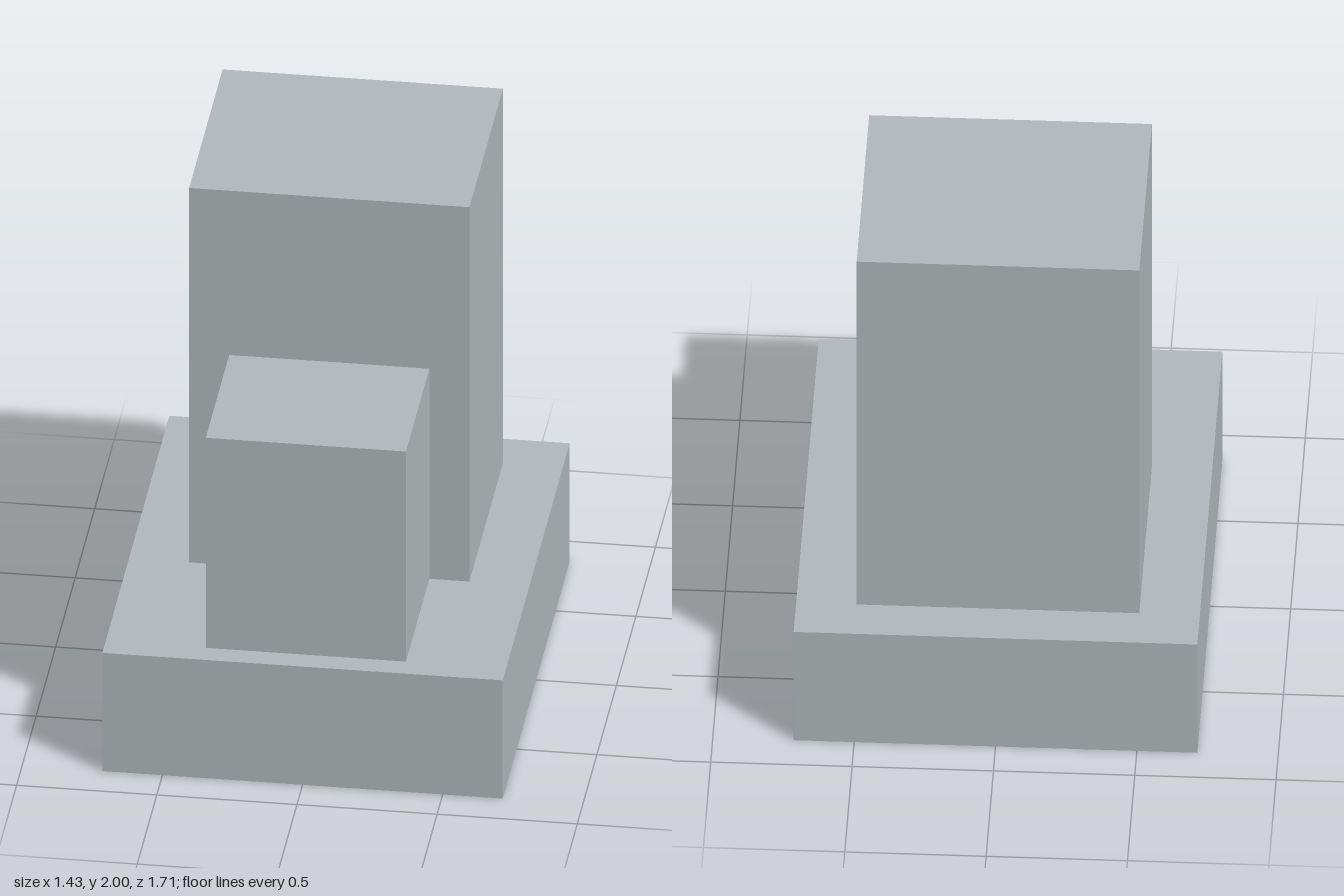
import * as THREE from 'three';

export function createModel() {
  const model = new THREE.Group();
  model.name = 'steppedTower';
  const grey = new THREE.MeshStandardMaterial({ color: 0xb3b9bc });
  grey.name = 'light stone grey';

  // Box given by its width and its y and z ranges, centred on x
  const addBlock = (name, width, [y0, y1], [z0, z1]) => {
    const mesh = new THREE.Mesh(new THREE.BoxGeometry(width, y1 - y0, z1 - z0), grey);
    mesh.name = name;
    mesh.position.set(0, (y0 + y1) / 2, (z0 + z1) / 2);
    model.add(mesh);
  };

  addBlock('base', 1.428, [0, 0.48], [-0.857, 0.857]);
  addBlock('tower', 1.0, [0.48, 2], [-0.685, 0.172]);
  addBlock('frontBlock', 0.714, [0.48, 1.333], [0.172, 0.771]);

  return model;
}
